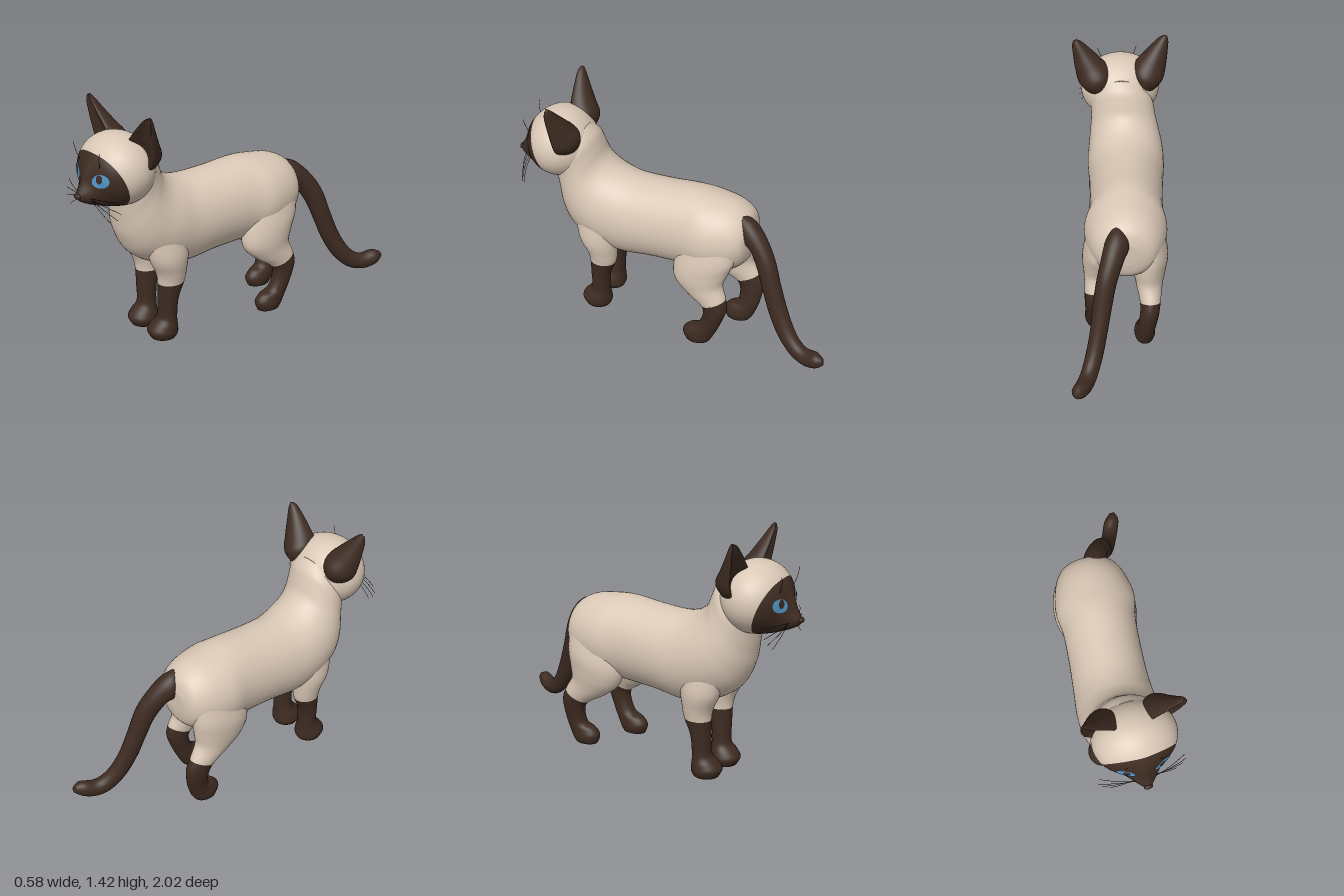
import * as THREE from 'three';

const mat = (name, color) => Object.assign(new THREE.MeshStandardMaterial({ color }), { name });
const cream = mat('cream fur', 0xdac8b6);
const brown = mat('dark brown fur', 0x3d2b21);
const blue = mat('blue iris', 0x4f96c8);
const black = mat('whisker black', 0x1c1512);

const clamp01 = (v) => Math.min(1, Math.max(0, v));

function mesh(name, geometry, material) {
  const m = new THREE.Mesh(geometry, material);
  m.name = name;
  return m;
}

// Skins closed rings of points, capping both ends; segments before `split` use material 0, the rest 1
function skin(rings, split = rings.length) {
  const n = rings[0].length, pos = [], idx = [];
  rings.forEach((r) => r.forEach((p) => pos.push(p.x, p.y, p.z)));
  const cap = (ring) => {
    const c = ring.reduce((a, p) => a.add(p), new THREE.Vector3()).divideScalar(n);
    pos.push(c.x, c.y, c.z);
    return pos.length / 3 - 1;
  };
  const first = cap(rings[0]), last = cap(rings[rings.length - 1]);
  for (let j = 0; j < n; j++) idx.push(first, (j + 1) % n, j);
  let cut = 0;
  for (let i = 0; i < rings.length - 1; i++) {
    if (i === split) cut = idx.length;
    for (let j = 0; j < n; j++) {
      const a = i * n + j, b = i * n + (j + 1) % n;
      idx.push(a, b, a + n, b, b + n, a + n);
    }
  }
  const end = (rings.length - 1) * n;
  for (let j = 0; j < n; j++) idx.push(last, end + j, end + (j + 1) % n);
  const g = new THREE.BufferGeometry();
  g.setAttribute('position', new THREE.Float32BufferAttribute(pos, 3));
  g.setIndex(idx);
  if (cut) {
    g.addGroup(0, cut, 0);
    g.addGroup(cut, idx.length - cut, 1);
  }
  g.computeVertexNormals();
  return g;
}

// Smooth loft through rows of [zA, yA, zB, yB, halfWidth, x]: A and B are opposite contour points.
// `dent` hollows the B side.
function loft(rows, { split, dent = 0, sides = 32, steps = 6 } = {}) {
  const row = (i) => rows[Math.min(rows.length - 1, Math.max(0, i))];
  const rings = [];
  for (let k = 0; k <= (rows.length - 1) * steps; k++) {
    const i = Math.min(Math.floor(k / steps), rows.length - 2), t = k / steps - i;
    const [zA, yA, zB, yB, w, x] = row(i).map((b, c) => {
      const a = row(i - 1)[c], d = row(i + 1)[c], e = row(i + 2)[c];
      return 0.5 * (2 * b + (d - a) * t + (2 * a - 5 * b + 4 * d - e) * t * t + (3 * b - a - 3 * d + e) * t * t * t);
    });
    rings.push(Array.from({ length: sides }, (_, j) => {
      const ang = (j / sides) * Math.PI * 2;
      let s = Math.sin(ang);
      if (s < 0) s += dent * s * s;
      return new THREE.Vector3(x + w * Math.cos(ang), (yA + yB) / 2 + s * (yA - yB) / 2, (zA + zB) / 2 + s * (zA - zB) / 2);
    }));
  }
  return skin(rings, split && split * steps);
}

// Head: ellipsoid with muzzle and nose bridge pushed forward
const RX = 0.238, RY = 0.205, RZ = 0.2;
const bump = (x, y) =>
  0.092 * Math.exp(-((x / 0.082) ** 2) - ((y + 0.122) / 0.068) ** 2) +
  0.022 * Math.exp(-((x / 0.04) ** 2) - ((y + 0.02) / 0.09) ** 2);
const faceZ = (x, y) => RZ * Math.sqrt(Math.max(0, 1 - (x / RX) ** 2 - (y / RY) ** 2)) + bump(x, y);

function headGeometry() {
  const half = 24, sides = 64, rings = [];
  for (let i = 0; i <= half * 2; i++) {
    rings.push(Array.from({ length: sides }, (_, j) => {
      const phi = (j / sides) * Math.PI * 2;
      const edge = 1.06 - 0.4 * Math.sin(phi); // mask outline
      const theta = i <= half
        ? THREE.MathUtils.lerp(Math.PI - 0.01, edge, i / half)
        : THREE.MathUtils.lerp(edge, 0.01, i / half - 1);
      const x = RX * Math.sin(theta) * Math.cos(phi), y = RY * Math.sin(theta) * Math.sin(phi);
      const c = Math.cos(theta);
      return new THREE.Vector3(x, y, RZ * c + bump(x, y) * THREE.MathUtils.smoothstep(c, 0, 0.5));
    }));
  }
  return skin(rings, half);
}

// Thin oval laid on the face
function facePatch(cx, cy, rx, ry, tilt, lift) {
  const g = new THREE.RingGeometry(0, 1, 28, 5);
  g.scale(rx, ry, 1).rotateZ(tilt).translate(cx, cy, 0);
  const p = g.attributes.position;
  for (let i = 0; i < p.count; i++) p.setZ(i, faceZ(p.getX(i), p.getY(i)) + lift);
  g.computeVertexNormals();
  return g;
}

function createHead() {
  const head = new THREE.Group();
  head.name = 'head';
  head.add(mesh('skull and mask', headGeometry(), [cream, brown]));
  const nose = mesh('nose', new THREE.SphereGeometry(1, 20, 12), brown);
  nose.scale.set(0.026, 0.016, 0.014);
  nose.position.set(0, -0.098, faceZ(0, -0.098) - 0.004);
  head.add(nose);

  const earRows = [
    [-0.06, -0.09, 0.12, -0.09, 0.075, 0], [-0.08, 0, 0.15, 0, 0.1, 0], [-0.03, 0.08, 0.14, 0.08, 0.082, 0],
    [0.02, 0.16, 0.13, 0.16, 0.054, 0], [0.055, 0.22, 0.12, 0.22, 0.03, 0], [0.075, 0.25, 0.1, 0.25, 0.008, 0],
  ];
  for (const s of [1, -1]) {
    const side = s > 0 ? 'left' : 'right';
    const ear = mesh(side + ' ear', loft(earRows, { dent: 1.15 }), brown);
    ear.position.set(s * 0.155, 0.115, -0.09);
    ear.rotation.set(0, s * 0.2, -s * 0.42);
    head.add(ear);

    head.add(mesh(side + ' iris', facePatch(s * 0.104, -0.004, 0.048, 0.038, s * 0.3, 0.004), blue));
    head.add(mesh(side + ' pupil', facePatch(s * 0.1, 0.007, 0.018, 0.025, 0, 0.007), brown));

    // Whiskers on the muzzle and above the eye
    const hairs = [[0.055, -0.11, 0.24, -0.1, 0.15], [0.055, -0.12, 0.25, -0.15, 0.16],
      [0.055, -0.13, 0.23, -0.19, 0.17], [0.05, -0.14, 0.19, -0.225, 0.18], [0.09, 0.06, 0.12, 0.16, 0.19]];
    for (const [x, y, ex, ey, ez] of hairs) {
      const a = new THREE.Vector3(s * x, y, faceZ(x, y) - 0.005), b = new THREE.Vector3(s * ex, ey, ez);
      const mid = a.clone().lerp(b, 0.5).add(new THREE.Vector3(0, 0.012, 0.015));
      const curve = new THREE.QuadraticBezierCurve3(a, mid, b);
      head.add(mesh(side + ' whisker', new THREE.TubeGeometry(curve, 8, 0.0014, 5), black));
    }
  }
  head.position.set(-0.02, 1.085, 0.74);
  head.rotation.y = 0.08;
  return head;
}

export function createModel() {
  const cat = new THREE.Group();
  cat.name = 'cat';

  // Trunk and neck: back contour, belly contour, half width, centre x
  cat.add(mesh('body', loft([
    [-0.46, 0.78, -0.455, 0.64, 0.07, -0.035], [-0.43, 0.86, -0.43, 0.55, 0.155, -0.035],
    [-0.34, 0.915, -0.34, 0.48, 0.21, -0.035], [-0.2, 0.94, -0.2, 0.45, 0.238, -0.035],
    [-0.08, 0.95, -0.04, 0.44, 0.218, -0.04], [0.1, 0.935, 0.15, 0.43, 0.215, -0.045],
    [0.28, 0.93, 0.35, 0.41, 0.222, -0.05], [0.38, 0.95, 0.52, 0.45, 0.232, -0.05],
    [0.44, 0.985, 0.66, 0.54, 0.225, -0.05], [0.48, 1.03, 0.725, 0.66, 0.21, -0.045],
    [0.505, 1.1, 0.745, 0.78, 0.195, -0.038], [0.53, 1.16, 0.755, 0.88, 0.188, -0.03],
    [0.58, 1.21, 0.77, 0.98, 0.16, -0.02],
  ], { sides: 48 }), cream));
  cat.add(createHead());

  // Legs: front contour, back contour, half width, x for the left leg
  const frontLeg = [
    [0.62, 0.66, 0.36, 0.7, 0.07, 0.09], [0.6, 0.52, 0.36, 0.53, 0.095, 0.082], [0.555, 0.42, 0.37, 0.41, 0.08, 0.075],
    [0.542, 0.35, 0.38, 0.35, 0.069, 0.072], [0.54, 0.25, 0.42, 0.25, 0.063, 0.067], [0.542, 0.14, 0.43, 0.13, 0.062, 0.062],
    [0.58, 0.098, 0.425, 0.06, 0.08, 0.058], [0.607, 0.055, 0.425, 0.03, 0.087, 0.056], [0.585, 0.008, 0.435, 0.008, 0.072, 0.056],
  ];
  const hindLeg = [
    [-0.08, 0.74, -0.39, 0.78, 0.07, 0.1], [-0.03, 0.55, -0.4, 0.62, 0.1, 0.11], [-0.03, 0.43, -0.365, 0.52, 0.098, 0.118],
    [-0.11, 0.345, -0.335, 0.43, 0.078, 0.13], [-0.21, 0.275, -0.36, 0.345, 0.06, 0.145], [-0.225, 0.21, -0.37, 0.27, 0.055, 0.15],
    [-0.19, 0.13, -0.33, 0.15, 0.052, 0.15], [-0.13, 0.105, -0.29, 0.06, 0.058, 0.147],
    [-0.098, 0.06, -0.275, 0.03, 0.062, 0.146], [-0.115, 0.008, -0.26, 0.008, 0.052, 0.146],
  ];
  // The right hind leg trails behind, most at the paw
  const trailing = hindLeg.map(([zA, yA, zB, yB, w, x]) => {
    const k = clamp01(((yA + yB) / 2 - 0.1) / 0.5), dz = -0.15 + 0.13 * k;
    return [zA + dz, yA, zB + dz, yB, w, -x - 0.07 * k];
  });
  const rightFront = frontLeg.map((r) => [...r.slice(0, 5), -0.092 - r[5]]);
  const fur = [cream, brown];
  cat.add(mesh('left front leg', loft(frontLeg, { split: 3 }), fur));
  cat.add(mesh('right front leg', loft(rightFront, { split: 3 }), fur));
  cat.add(mesh('left hind leg', loft(hindLeg, { split: 4 }), fur));
  cat.add(mesh('right hind leg', loft(trailing, { split: 4 }), fur));

  // Tail: lower contour, upper contour, half width, x
  cat.add(mesh('tail', loft([
    [-0.37, 0.74, -0.395, 0.875, 0.045, 0.015], [-0.43, 0.7, -0.47, 0.85, 0.07, 0.02], [-0.48, 0.67, -0.55, 0.775, 0.065, 0.045],
    [-0.535, 0.57, -0.625, 0.66, 0.058, 0.08], [-0.58, 0.45, -0.68, 0.5, 0.054, 0.105], [-0.63, 0.32, -0.73, 0.37, 0.05, 0.125],
    [-0.7, 0.2, -0.78, 0.27, 0.05, 0.15], [-0.79, 0.115, -0.83, 0.21, 0.05, 0.178], [-0.88, 0.09, -0.88, 0.19, 0.05, 0.205],
    [-0.955, 0.11, -0.945, 0.205, 0.046, 0.23], [-1, 0.148, -0.99, 0.19, 0.018, 0.243],
  ], { sides: 24 }), brown));
  return cat;
}
